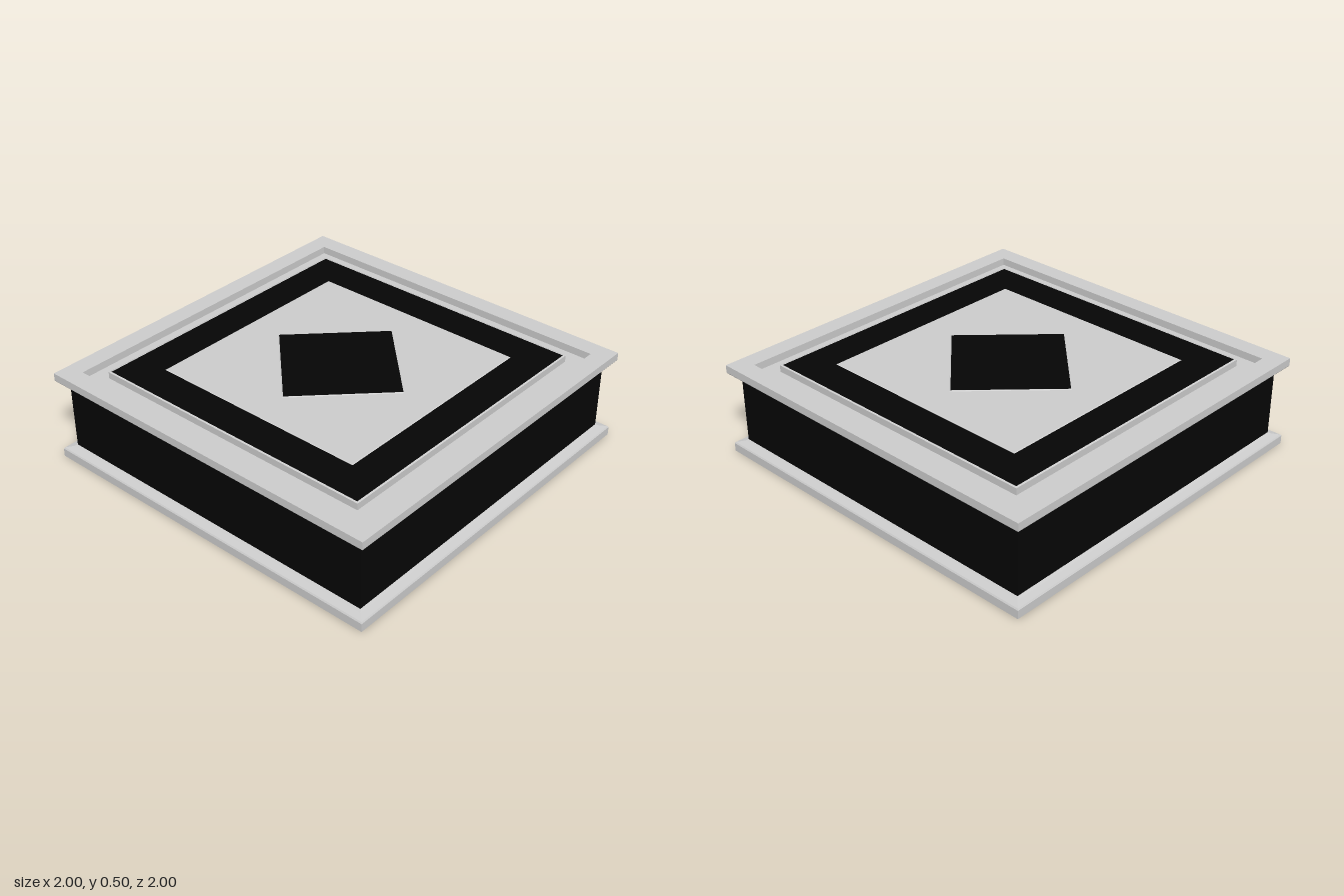
import * as THREE from 'three';

const grey = new THREE.MeshStandardMaterial({ color: 0xcccccc, flatShading: true });
const black = new THREE.MeshStandardMaterial({ color: 0x050505, flatShading: true });

// Sweeps a profile of [half width, y] points, listed bottom to top, around a square.
function squareSweep(name, profile, material, diamond = false) {
  const scale = diamond ? 1 : Math.SQRT2;
  const points = profile.map(([r, y]) => new THREE.Vector2(r * scale, y));
  const geometry = new THREE.LatheGeometry(points, 4, diamond ? 0 : Math.PI / 4).toNonIndexed();
  geometry.computeVertexNormals();
  const mesh = new THREE.Mesh(geometry, material);
  mesh.name = name;
  return mesh;
}

export function createModel() {
  const model = new THREE.Group();
  model.name = 'inlaidBox';

  // Base slab with a stepped, chamfered upper edge
  model.add(squareSweep('baseSlab', [
    [0, 0], [1, 0], [1, 0.045], [0.995, 0.052], [0.96, 0.06], [0.95, 0.068], [0.94, 0.068],
  ], grey));

  // Dark side walls
  model.add(squareSweep('sideWalls', [[0.948, 0.066], [0.948, 0.436]], black));

  // Lid: moulded edge, sunken groove and raised panel rim
  model.add(squareSweep('lid', [
    [0.94, 0.434], [0.95, 0.434], [0.96, 0.446], [0.995, 0.452], [1, 0.459], [1, 0.5],
    [0.9, 0.5], [0.9, 0.46], [0.81, 0.46], [0.81, 0.496], [0.802, 0.5], [0.8, 0.497],
  ], grey));

  // Dark square border set into the lid
  model.add(squareSweep('darkBorder', [[0.801, 0.497], [0.605, 0.497]], black));

  // Grey centre panel with a small bevel
  model.add(squareSweep('centrePanel', [[0.615, 0.495], [0.607, 0.5], [0, 0.5]], grey));

  // Diamond inlay with a thin grey lip
  model.add(squareSweep('diamondLip', [[0.422, 0.499], [0.412, 0.503], [0.4, 0.503]], grey, true));
  model.add(squareSweep('diamondInlay', [[0.412, 0.504], [0, 0.504]], black, true));

  return model;
}
